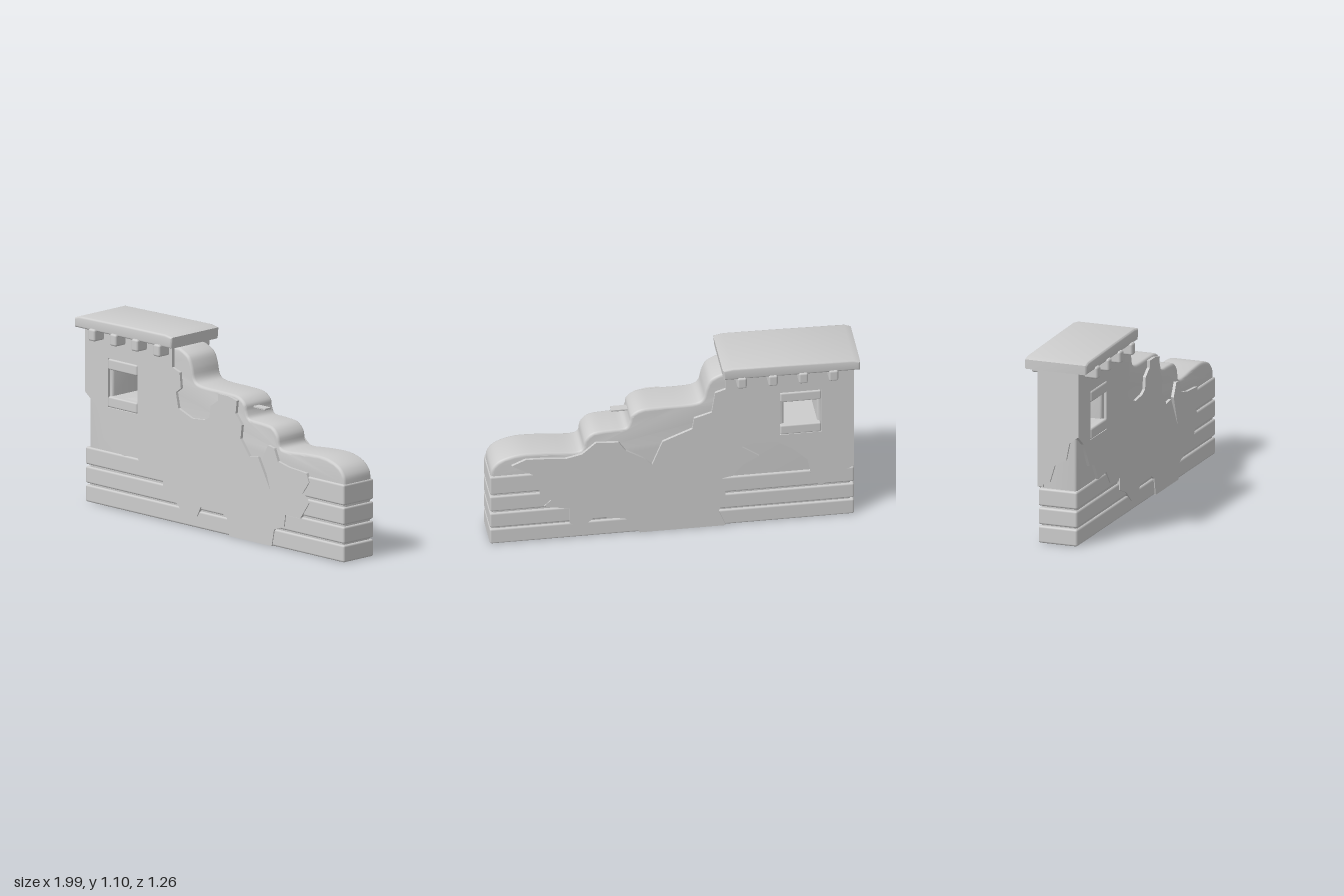
import * as THREE from 'three';
import { toCreasedNormals } from 'three/addons/utils/BufferGeometryUtils.js';
import { RoundedBoxGeometry } from 'three/addons/geometries/RoundedBoxGeometry.js';

const MID = 0.015; // middle of the wall's thickness
const vec = (pts) => pts.map(([x, y]) => new THREE.Vector2(x, y));

function rectHole(x0, x1, y0, y1) {
  return new THREE.Path(vec([[x0, y0], [x0, y1], [x1, y1], [x1, y0]]));
}

export function createModel() {
  const stone = new THREE.MeshStandardMaterial({ color: 0xcccccc });
  stone.name = 'pale stone';
  const wall = new THREE.Group();
  wall.name = 'ruinedWall';

  const add = (name, geometry) => {
    const mesh = new THREE.Mesh(geometry, stone);
    mesh.name = name;
    wall.add(mesh);
    return mesh;
  };
  const block = (name, x0, x1, y0, y1, z0, z1, r) =>
    add(name, new RoundedBoxGeometry(x1 - x0, y1 - y0, z1 - z0, 1, r))
      .position.set((x0 + x1) / 2, (y0 + y1) / 2, (z0 + z1) / 2);

  // extrude a side outline between two depths, with an optional rounded edge
  const slab = (name, shape, z0, z1, bevel = 0, crease = 0.6) => {
    const geometry = new THREE.ExtrudeGeometry(shape, {
      depth: z1 - z0 - 2 * bevel, bevelEnabled: bevel > 0, bevelThickness: bevel,
      bevelSize: bevel, bevelOffset: -bevel, bevelSegments: 3, curveSegments: 6,
    });
    geometry.translate(0, 0, z0 + bevel);
    return add(name, toCreasedNormals(geometry, crease));
  };

  // core with worn, rounded steps and a window opening
  const steps = new THREE.SplineCurve(vec([
    [1.068, 0.45], [1.06, 0.5], [1.01, 0.55], [0.9, 0.58], [0.75, 0.577], [0.6, 0.565],
    [0.545, 0.58], [0.53, 0.64], [0.48, 0.685], [0.38, 0.695], [0.3, 0.7], [0.275, 0.74],
    [0.265, 0.78], [0.21, 0.815], [0.1, 0.822], [-0.08, 0.825], [-0.14, 0.85],
    [-0.16, 0.92], [-0.19, 0.98], [-0.26, 1.015],
  ])).getPoints(76);
  const core = new THREE.Shape([
    ...vec([[-0.985, 0], [1.06, 0]]), ...steps, ...vec([[-0.985, 1.03]]),
  ]);
  core.holes.push(rectHole(-0.795, -0.605, 0.645, 0.8));
  slab('core', core, MID - 0.108, MID + 0.108, 0.016);

  // masonry courses
  [[0, 0.1], [0.108, 0.207], [0.217, 0.32]].forEach(([y0, y1]) =>
    block('course', -1.005, 1.075, y0, y1, MID - 0.119, MID + 0.119, 0.012));
  block('endCourse', 0.68, 1.075, 0.33, 0.452, MID - 0.119, MID + 0.119, 0.012);

  // broken plaster on each face
  const plaster = (name, outline, z0, z1) => {
    const shape = new THREE.Shape(vec(outline));
    shape.holes.push(rectHole(-0.817, -0.578, 0.58, 0.865));
    slab(name, shape, z0, z1, 0, 0.3);
  };
  plaster('frontPlaster', [
    [-1, 0.64], [-0.92, 0.58], [-0.87, 0.5], [-0.83, 0.43], [-0.76, 0.42], [-0.7, 0.32],
    [-0.58, 0.33], [-0.52, 0.25], [-0.375, 0.24], [-0.375, 0.17], [-0.28, 0.13],
    [-0.2, 0.06], [-0.1, 0.07], [-0.07, 0.13], [0.09, 0.13], [0.14, 0.1], [0.16, 0],
    [0.5, 0], [0.52, 0.1], [0.6, 0.13], [0.61, 0.2], [0.73, 0.2], [0.8, 0.3], [0.75, 0.35],
    [0.8, 0.42], [0.78, 0.47], [0.64, 0.48], [0.55, 0.5], [0.52, 0.57], [0.47, 0.58],
    [0.43, 0.5], [0.49, 0.32], [0.39, 0.5], [0.32, 0.49], [0.25, 0.58], [0.26, 0.66],
    [0.21, 0.72], [0.22, 0.795], [0.15, 0.81], [0.07, 0.81], [0.07, 0.77], [0.01, 0.73],
    [0, 0.66], [-0.04, 0.64], [-0.14, 0.63], [-0.25, 0.67], [-0.27, 0.76], [-0.23, 0.79],
    [-0.24, 0.88], [-0.3, 0.9], [-0.3, 1.02], [-1, 1.02],
  ], MID + 0.09, MID + 0.125);
  plaster('backPlaster', [
    [-1, 0.33], [-0.95, 0.31], [-0.9, 0.25], [-0.8, 0.22], [-0.756, 0.3], [-0.735, 0.4],
    [-0.65, 0.48], [-0.57, 0.53], [-0.44, 0.54], [-0.36, 0.52], [-0.46, 0.45],
    [-0.37, 0.4], [-0.31, 0.33], [-0.25, 0.32], [-0.27, 0.2], [-0.23, 0.1], [-0.27, 0],
    [0.22, 0], [0.3, 0.1], [0.4, 0.12], [0.48, 0.13], [0.54, 0.07], [0.62, 0.1], [0.62, 0.2],
    [0.767, 0.23], [0.725, 0.27], [0.79, 0.3], [0.79, 0.37], [0.83, 0.45], [0.95, 0.52],
    [0.87, 0.555], [0.76, 0.55], [0.64, 0.54], [0.55, 0.56], [0.47, 0.63], [0.34, 0.62],
    [0.3, 0.56], [0.2, 0.5], [0.15, 0.45], [0.09, 0.6], [-0.08, 0.67], [-0.09, 0.74],
    [-0.19, 0.77], [-0.21, 0.9], [-0.27, 0.92], [-0.27, 1.02], [-1, 1.02],
  ], MID - 0.125, MID - 0.09);

  // plaster on the tall end, joining the two faces
  const endShape = new THREE.Shape(vec([
    [-0.12, 0.33], [-0.05, 0.36], [-0.02, 0.46], [0.05, 0.5], [0.07, 0.6], [0.12, 0.64],
    [0.12, 1.02], [-0.12, 1.02],
  ]));
  const endPlaster = slab('endPlaster', endShape, 0, 0.02);
  endPlaster.rotation.y = -Math.PI / 2;
  endPlaster.position.set(-0.98, 0, MID);

  // window lintel and sill
  block('windowLintel', -0.815, -0.58, 0.8, 0.863, MID - 0.13, MID + 0.13, 0.01);
  block('windowSill', -0.815, -0.58, 0.582, 0.645, MID - 0.13, MID + 0.13, 0.01);

  // sloping cap slab on corbels
  const cap = new THREE.Shape(vec([
    [-1.028, 1.02], [-0.25, 1.025], [-0.243, 1.09], [-0.3, 1.1], [-0.6, 1.096],
    [-0.99, 1.088], [-1.028, 1.075],
  ]));
  slab('capSlab', cap, -0.178, 0.2, 0.012);
  for (const x of [-0.875, -0.703, -0.53, -0.353]) {
    block('corbel', x - 0.027, x + 0.027, 0.965, 1.035, -0.188, 0.216, 0.012);
  }

  // small stub sticking out of the second step
  block('stub', 0.24, 0.365, 0.75, 0.761, 0.012, 0.058, 0.002);

  wall.rotation.y = THREE.MathUtils.degToRad(-28.2);
  const model = new THREE.Group();
  model.name = 'model';
  model.add(wall);
  return model;
}
